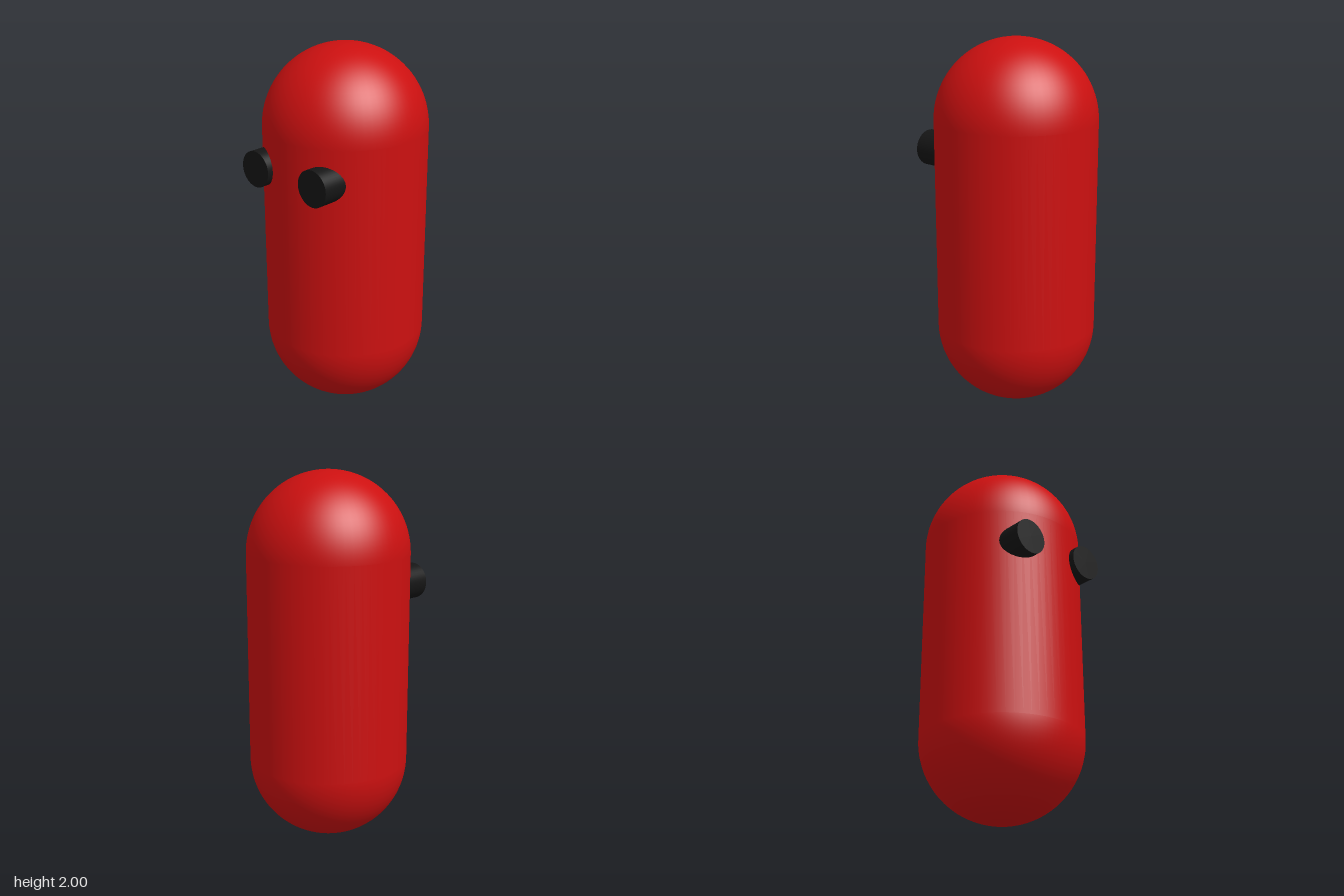
import * as THREE from 'three';

export function createModel() {
  const model = new THREE.Group();
  const red = new THREE.MeshStandardMaterial({ color: 0xcc1010 });
  const black = new THREE.MeshStandardMaterial({ color: 0x151515 });

  // Upright capsule body, set slightly back to balance the eyes
  const radius = 0.433;
  const body = new THREE.Mesh(new THREE.CapsuleGeometry(radius, 2 - 2 * radius, 24, 64), red);
  body.name = 'body';
  body.position.set(0, 1, -0.009);
  model.add(body);

  // Flat-ended cylinder eyes pushed into the front of the body
  const depth = 0.24;
  const eyeGeometry = new THREE.CylinderGeometry(0.096, 0.096, depth, 48).rotateX(Math.PI / 2);
  for (const [name, side] of [['leftEye', 1], ['rightEye', -1]]) {
    const eye = new THREE.Mesh(eyeGeometry, black);
    eye.name = name;
    eye.position.set(side * 0.204, 1.387, 0.442 - depth / 2);
    model.add(eye);
  }

  return model;
}
